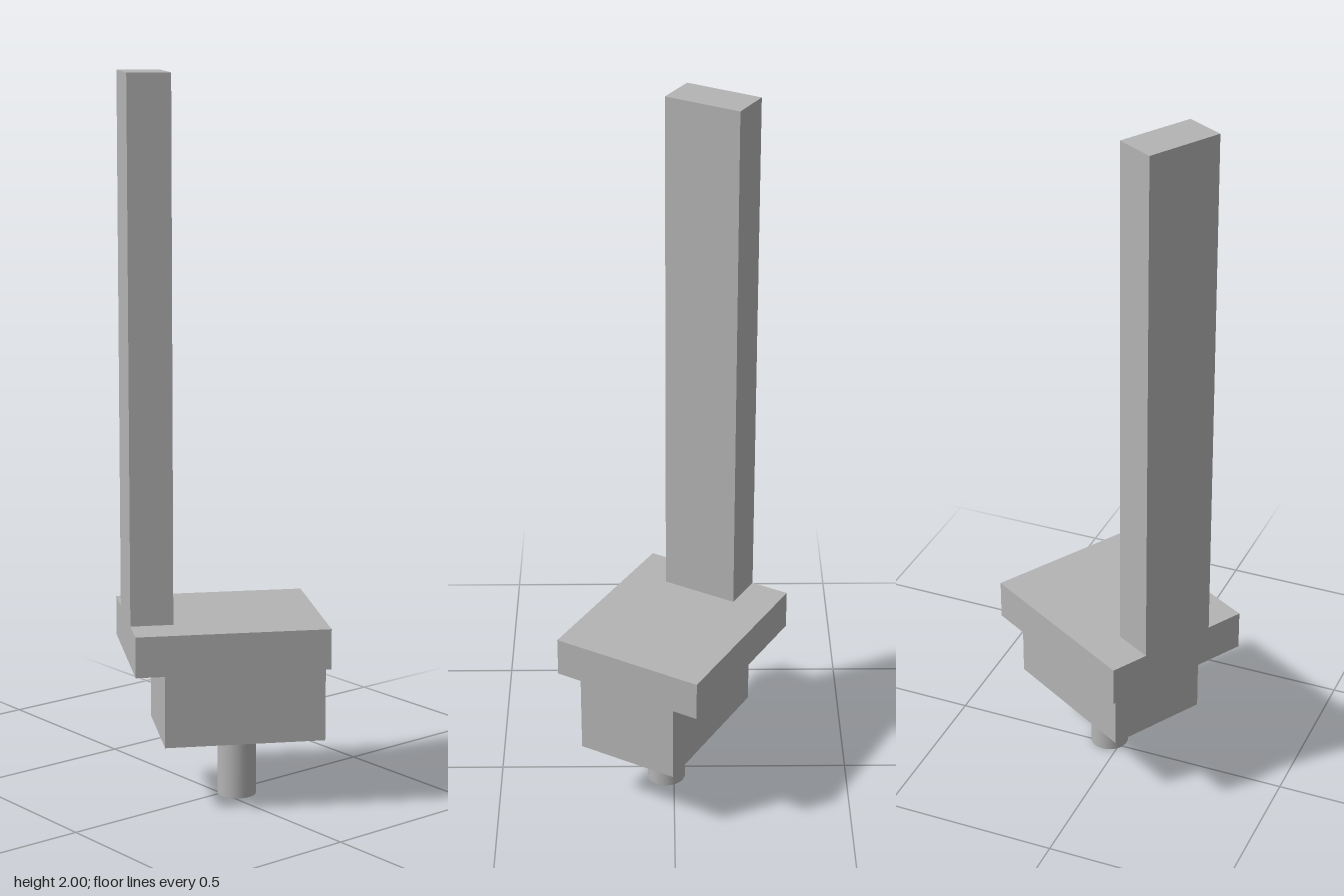
import * as THREE from 'three';

export function createModel() {
  const model = new THREE.Group();
  model.name = 'postOnSteppedBase';

  const grey = new THREE.MeshStandardMaterial({ color: 0xb4b4b4 });
  grey.name = 'plain grey';

  // Adds a part spanning y0 to y1, centred at x along the base's long axis
  const add = (name, geometry, x, y0, y1) => {
    const mesh = new THREE.Mesh(geometry, grey);
    mesh.name = name;
    mesh.position.set(x, (y0 + y1) / 2, 0);
    model.add(mesh);
  };
  const block = (name, width, depth, x, y0, y1) =>
    add(name, new THREE.BoxGeometry(width, y1 - y0, depth), x, y0, y1);

  // Round peg under the base
  add('peg', new THREE.CylinderGeometry(0.054, 0.054, 0.188, 32), 0.044, 0, 0.188);

  // Stepped base: the block and plate share one flush end
  block('lowerBlock', 0.443, 0.296, 0.044, 0.188, 0.411);
  block('plate', 0.531, 0.443, 0, 0.411, 0.523);

  // Tall post, flush with the opposite end of the plate
  block('post', 0.117, 0.221, -0.207, 0.523, 2);

  // The whole piece is turned 30 degrees about the vertical
  model.rotation.y = -Math.PI / 6;
  return model;
}
